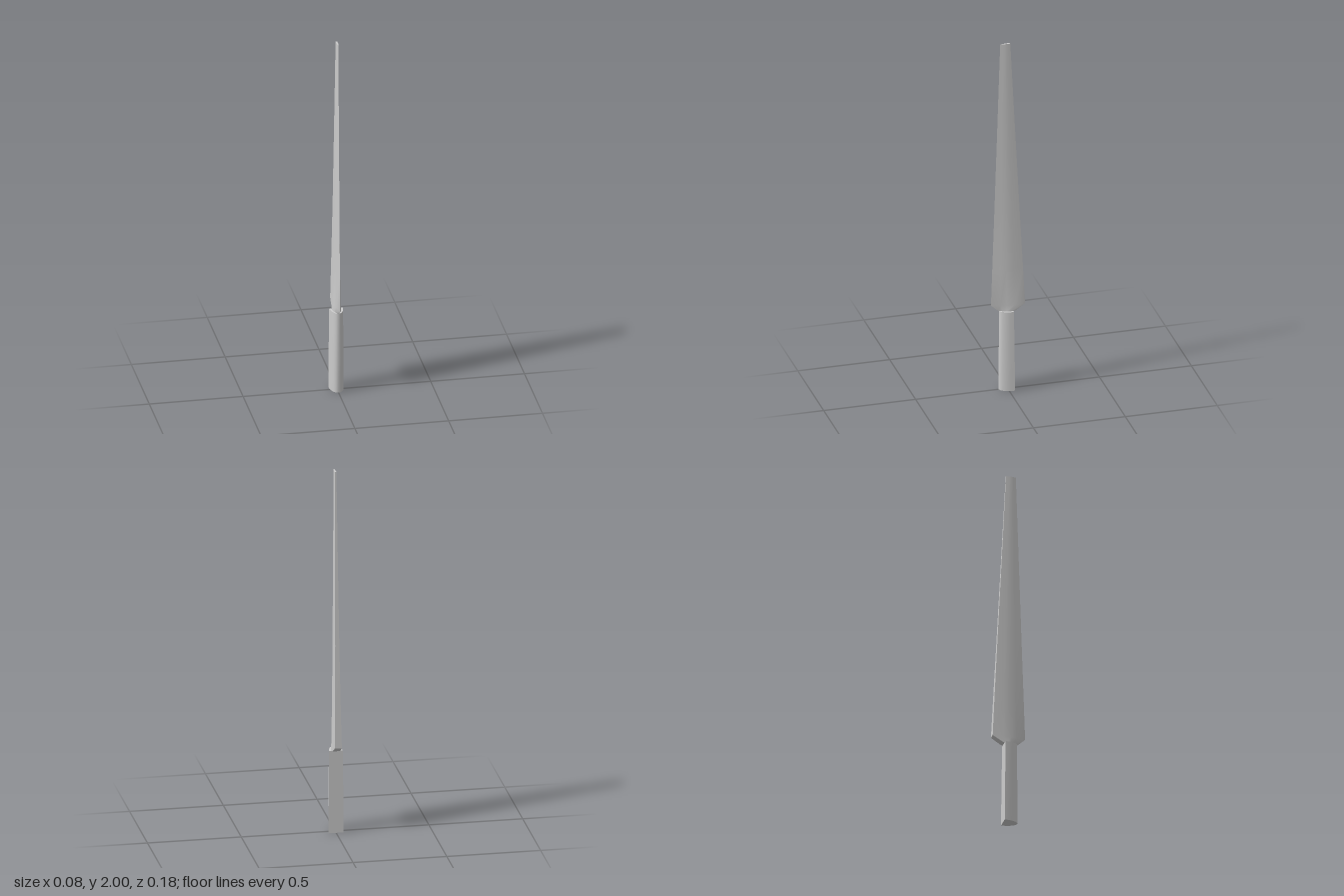
import * as THREE from 'three';
import { toCreasedNormals } from 'three/addons/utils/BufferGeometryUtils.js';

const material = new THREE.MeshStandardMaterial({ color: 0xcccccc });

// Closed loft through rings of [x, y, z], listed bottom to top
function loft(rings, name, crease) {
  const n = rings[0].length;
  const pos = rings.flat(2);
  const idx = [];
  for (let i = 0; i < rings.length - 1; i++) {
    for (let j = 0; j < n; j++) {
      const k = (j + 1) % n;
      const a = i * n + j, b = i * n + k, c = a + n, d = b + n;
      idx.push(a, b, d, a, d, c);
    }
  }
  // End caps
  const top = (rings.length - 1) * n;
  for (let j = 1; j < n - 1; j++) {
    idx.push(0, j + 1, j, top, top + j, top + j + 1);
  }
  const geo = new THREE.BufferGeometry();
  geo.setAttribute('position', new THREE.Float32BufferAttribute(pos, 3));
  geo.setIndex(idx);
  const mesh = new THREE.Mesh(toCreasedNormals(geo, crease), material);
  mesh.name = name;
  return mesh;
}

// Mirrored cross-section: half = [x fraction, depth from front 0 to back 1]
function ring(half, y, front, back, width) {
  const right = half.map(([x, t]) => [x * width, y, front + (back - front) * t]);
  const left = right.filter((p) => p[0] > 0).reverse().map(([x, py, z]) => [-x, py, z]);
  return [...right, ...left];
}

export function createModel() {
  const group = new THREE.Group();
  group.name = 'knife';

  // Blade: sharp front edge, hollow wedge sides, flat spine
  const bladeHalf = [[0, 0], [0.52, 0.27], [0.85, 0.45], [1, 0.68], [0.88, 1]];
  const blade = [
    [0.455, 0.05, -0.035, 0.024],
    [0.49, 0.09, -0.09, 0.0215],
    [0.7, 0.083, -0.08, 0.0175],
    [1.05, 0.071, -0.062, 0.0125],
    [1.6, 0.053, -0.034, 0.008],
    [2, 0.04, -0.014, 0.005],
  ].map((s) => ring(bladeHalf, ...s));
  group.add(loft(blade, 'blade', 0.6));

  // Handle: flat back, rounded front, slightly slimmer at the top
  const handleHalf = [[0, 0], [0.33, 0.05], [0.58, 0.2], [0.82, 0.45], [0.94, 0.72], [1, 1]];
  const handle = [
    [0, 0.048, -0.03, 0.04],
    [0.2, 0.048, -0.028, 0.039],
    [0.455, 0.046, -0.025, 0.036],
  ].map((s) => ring(handleHalf, ...s));
  group.add(loft(handle, 'handle', 0.8));

  return group;
}
